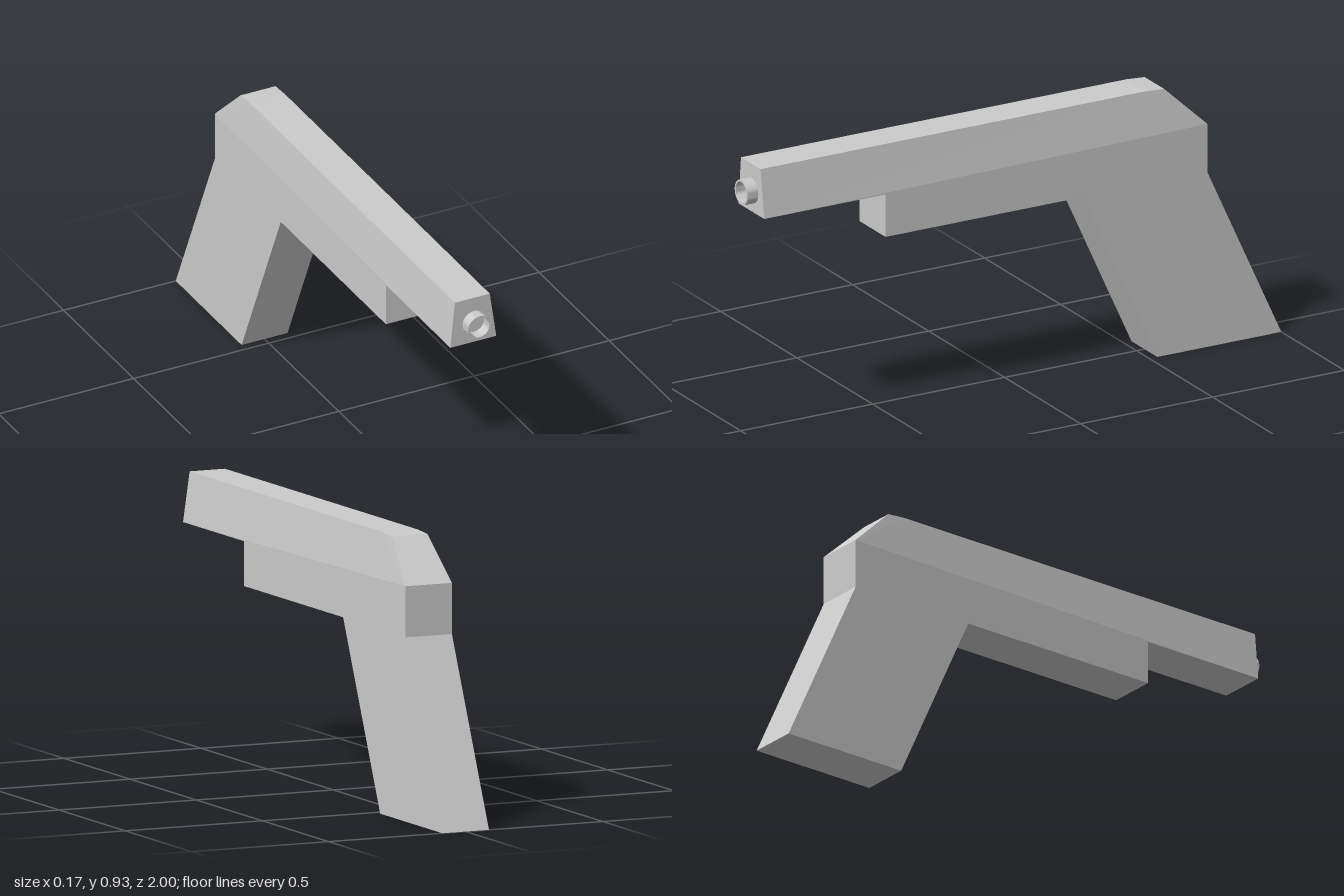
import * as THREE from 'three';
import { toCreasedNormals } from 'three/addons/utils/BufferGeometryUtils.js';

const HALF = 0.085; // half width of the body
const SEAM = 0.763; // height where the slide meets the frame

// Extrude a side profile of [z, y] points across the width
function sideExtrude(points) {
  const shape = new THREE.Shape(points.map(([z, y]) => new THREE.Vector2(z, y)));
  const geometry = new THREE.ExtrudeGeometry(shape, { depth: 2 * HALF, bevelEnabled: false });
  geometry.translate(0, 0, -HALF);
  geometry.rotateY(-Math.PI / 2);
  return geometry;
}

export function createModel() {
  const model = new THREE.Group();
  const grey = new THREE.MeshStandardMaterial({ color: 0xcccccc, flatShading: true });
  const smoothGrey = new THREE.MeshStandardMaterial({ color: 0xcccccc });

  const add = (name, geometry, material) => {
    const mesh = new THREE.Mesh(geometry, material);
    mesh.name = name;
    model.add(mesh);
    return mesh;
  };

  // Slide: sides lean inward towards the top, with a sloped rear
  const slide = sideExtrude([
    [0.96, SEAM], [0.96, 0.93], [-0.5, 0.93], [-0.57, 0.925], [-0.72, 0.782], [-0.72, SEAM],
  ]);
  const pos = slide.attributes.position;
  for (let i = 0; i < pos.count; i++) {
    if (pos.getY(i) > 0.8) pos.setX(i, pos.getX(i) > 0 ? 0.061 : -0.068);
  }
  slide.computeVertexNormals();
  add('slide', slide, grey);

  // Frame under the slide, continuing into the raked grip
  add('frameAndGrip', sideExtrude([
    [0.5, SEAM], [-0.72, SEAM], [-0.72, 0.612], [-1, 0], [-0.53, 0], [-0.25, 0.614], [0.5, 0.614],
  ]), grey);

  // Muzzle: short hollow tube
  const ring = [[0.043, 0], [0.043, 0.04], [0.036, 0.04], [0.036, 0]];
  const tube = new THREE.LatheGeometry(ring.map(([r, y]) => new THREE.Vector2(r, y)), 32);
  tube.rotateX(Math.PI / 2);
  add('muzzle', toCreasedNormals(tube, 0.6), smoothGrey).position.set(0.003, 0.837, 0.96);

  return model;
}
